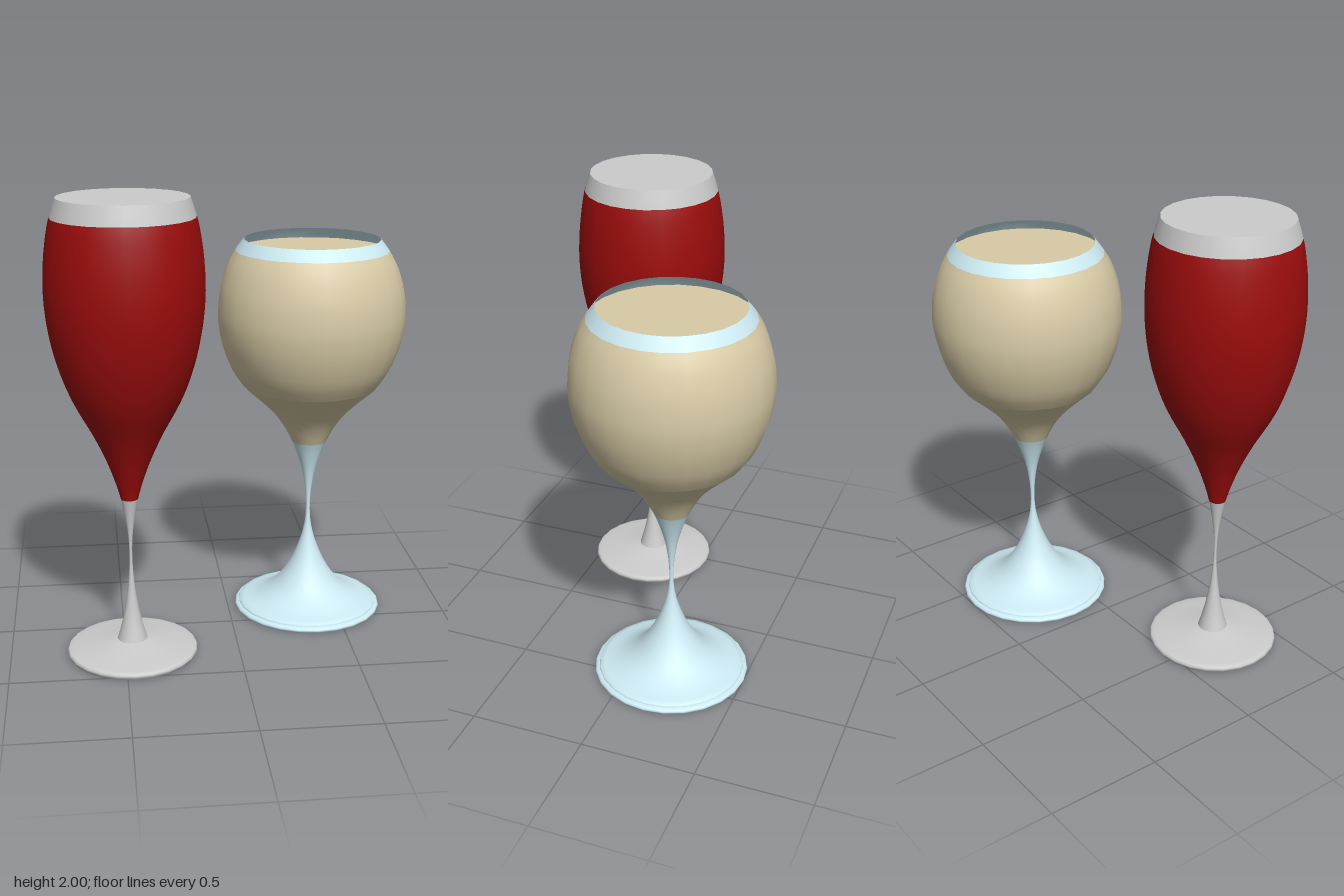
import * as THREE from 'three';

const SIDES = 24;

const material = (color) => new THREE.MeshStandardMaterial({ color, side: THREE.DoubleSide });
const grey = material(0xcccccc);
const red = material(0x9c0c0c);
const beige = material(0xd8cba6);
const paleBlue = material(0xcdeaf2);

// Samples a smooth curve through [radius, y] knots, from knot a to knot b
function smooth(knots, a = 0, b = knots.length - 1, perSpan = 3) {
  const curve = new THREE.SplineCurve(knots.map(([r, y]) => new THREE.Vector2(r, y)));
  const points = [];
  for (let i = 0; i <= (b - a) * perSpan; i++) {
    points.push(curve.getPoint((a + i / perSpan) / (knots.length - 1)));
  }
  return points;
}

function turned(name, points, mat) {
  const mesh = new THREE.Mesh(new THREE.LatheGeometry(points, SIDES), mat);
  mesh.name = name;
  return mesh;
}

// Horizontal disc facing up
function disc(name, radius, y, mat) {
  const geometry = new THREE.CircleGeometry(radius, SIDES).rotateX(-Math.PI / 2);
  const mesh = new THREE.Mesh(geometry, mat);
  mesh.name = name;
  mesh.position.y = y;
  return mesh;
}

const straight = (knots) => knots.map(([r, y]) => new THREE.Vector2(r, y));

// Tall slim glass
function createTallGlass() {
  const glass = new THREE.Group();
  glass.name = 'tallGlass';
  const body = [
    [0.065, 0.065], [0.047, 0.13], [0.03, 0.21], [0.015, 0.31], [0.007, 0.42], [0.008, 0.52],
    [0.018, 0.61], [0.037, 0.715],
    [0.065, 0.81], [0.103, 0.91], [0.155, 1.02], [0.21, 1.12], [0.256, 1.22], [0.297, 1.35],
    [0.322, 1.48], [0.332, 1.61], [0.327, 1.74], [0.313, 1.85], [0.298, 1.92],
    [0.273, 2],
  ];
  glass.add(
    turned('foot', smooth([[0.278, 0], [0.285, 0.012], [0.284, 0.022], [0.268, 0.032],
      [0.17, 0.046], [0.065, 0.065]]), grey),
    turned('stem', smooth(body, 0, 7), grey),
    turned('bowl', smooth(body, 7, 18), red),
    turned('rim', smooth(body, 18, 19), grey),
    disc('topSurface', 0.273, 2, grey),
  );
  return glass;
}

// Short round glass
function createRoundGlass() {
  const glass = new THREE.Group();
  glass.name = 'roundGlass';
  const lower = [
    [0.3, 0.04], [0.235, 0.06], [0.165, 0.105], [0.11, 0.17], [0.07, 0.24], [0.038, 0.32],
    [0.017, 0.4], [0.009, 0.48], [0.013, 0.57], [0.027, 0.66], [0.05, 0.74], [0.079, 0.815],
    [0.125, 0.9], [0.19, 0.98], [0.305, 1.085],
  ];
  const upper = [
    [0.305, 1.085], [0.355, 1.16], [0.395, 1.26], [0.415, 1.35], [0.42, 1.43], [0.41, 1.53],
    [0.38, 1.63], [0.342, 1.7],
    [0.303, 1.75],
  ];
  glass.add(
    turned('footEdge', smooth([[0.335, 0], [0.341, 0.01], [0.336, 0.02], [0.322, 0.025]]), paleBlue),
    turned('footStep', straight([[0.322, 0.025], [0.32, 0.034], [0.3, 0.04]]), paleBlue),
    turned('stem', smooth(lower, 0, 11), paleBlue),
    turned('lowerBowl', smooth(lower, 11, 14), beige),
    turned('bowl', smooth(upper, 0, 7), beige),
    turned('rim', smooth(upper, 7, 8), paleBlue),
    disc('drinkSurface', 0.342, 1.7, beige),
  );
  return glass;
}

export function createModel() {
  const model = new THREE.Group();
  model.name = 'glasses';
  const tall = createTallGlass();
  tall.position.set(-0.468, 0, 0.25);
  const round = createRoundGlass();
  round.position.set(0.376, 0, -0.165);
  model.add(tall, round);
  return model;
}
